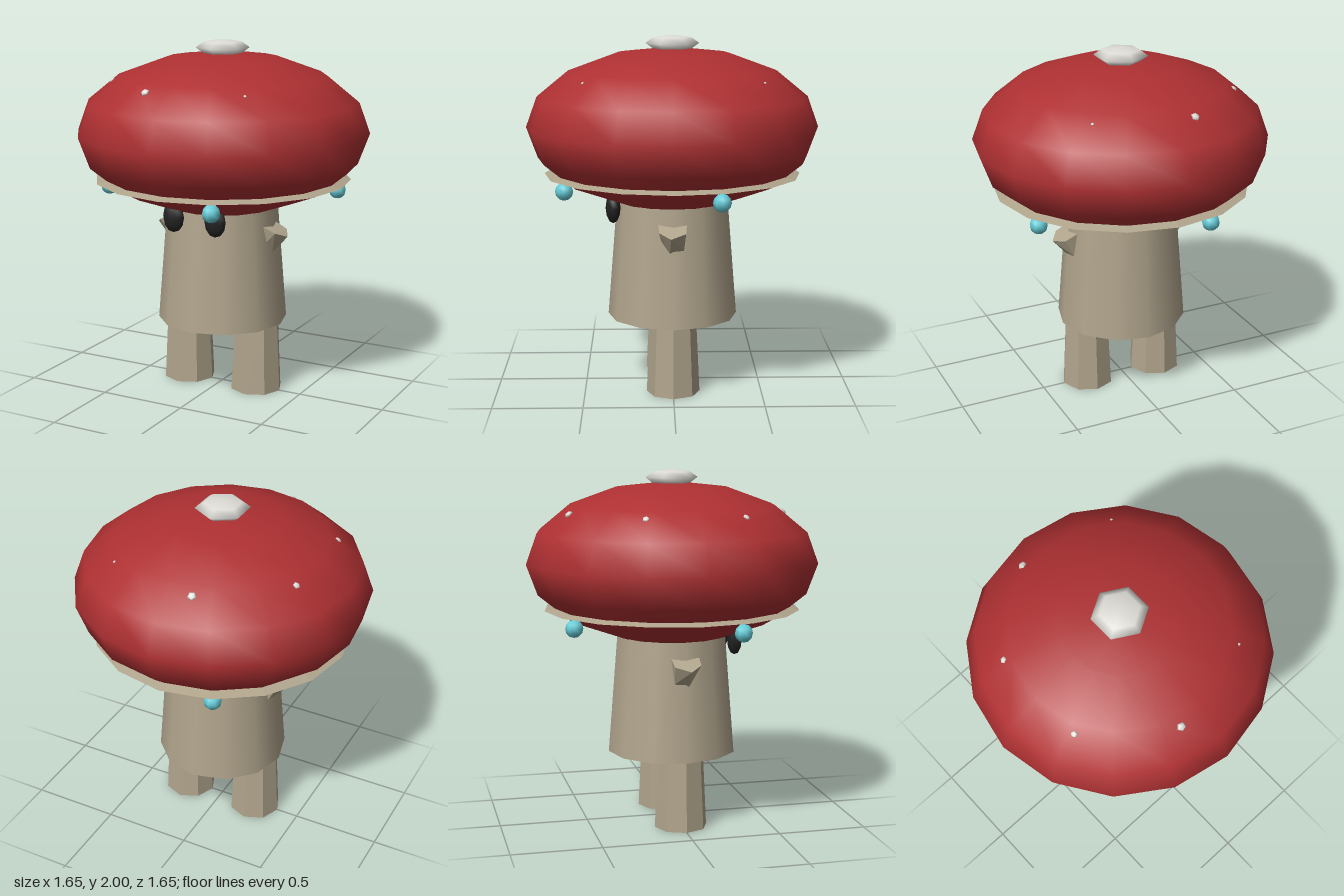
import * as THREE from 'three';
import { ConvexGeometry } from 'three/addons/geometries/ConvexGeometry.js';

const mat = (name, color, extra = {}) => {
  const m = new THREE.MeshStandardMaterial({ color, ...extra });
  m.name = name;
  return m;
};

export function createModel() {
  const red = mat('capRed', 0xae3032);
  const beige = mat('stemBeige', 0xb0a48c);
  const beigeFlat = mat('stemBeige', 0xb0a48c, { flatShading: true });
  const white = mat('spotWhite', 0xdedcd6);
  const black = mat('eyeBlack', 0x222222);
  const cyan = mat('glowCyan', 0x66ccd8);

  const root = new THREE.Group();
  root.name = 'mushroomFigure';
  const add = (name, geometry, material, x = 0, y = 0, z = 0) => {
    const m = new THREE.Mesh(geometry, material);
    m.name = name;
    m.position.set(x, y, z);
    root.add(m);
    return m;
  };

  // Cap: flattened sphere
  add('cap', new THREE.SphereGeometry(0.825, 16, 8).scale(1, 0.45 / 0.825, 1), red, 0, 1.485, 0);

  // Skirt ring under the cap
  const skirt = [[0.6, 1.222], [0.725, 1.222], [0.62, 1.25]].map(p => new THREE.Vector2(...p));
  add('skirtRing', new THREE.LatheGeometry(skirt, 16).toNonIndexed(), beigeFlat);

  // Spot on the crown
  const crown = new THREE.SphereGeometry(0.15, 6, 4).rotateY(Math.PI / 6).scale(1, 0.3, 1);
  add('crownSpot', crown, white, 0, 1.955, 0);

  // Ring of small spots barely breaking the cap surface
  const spotSize = [0, 0.009, 0.025, 0.02, 0.02, 0.025, 0.009];
  spotSize.forEach((size, i) => {
    if (!size) return;
    const a = (i / 7) * Math.PI * 2;
    const spot = add('capSpot', new THREE.SphereGeometry(size, 5, 4).scale(1, 0.5, 1), white,
      Math.cos(a) * 0.62, 1.768, Math.sin(a) * 0.62);
    const normal = new THREE.Vector3(Math.cos(a) * 0.63, 0.77, Math.sin(a) * 0.63).normalize();
    spot.quaternion.setFromUnitVectors(new THREE.Vector3(0, 1, 0), normal);
  });

  // Glowing drops hanging under the rim
  for (let i = 0; i < 4; i++) {
    const a = Math.atan2(0.6, 0.25) + (i * Math.PI) / 2;
    add('glowDrop', new THREE.SphereGeometry(0.05, 8, 6), cyan,
      Math.cos(a) * 0.65, 1.16, Math.sin(a) * 0.65);
  }

  // Stem body
  add('body', new THREE.CylinderGeometry(0.305, 0.37, 0.8, 12), beige, 0, 0.8, 0);

  // Paired legs, eyes and stubby arms
  const armPoints = [
    [0.417, 0.923, 0.015], [0.37, 0.95, 0.08], [0.375, 0.945, -0.068],
    [0.29, 0.985, 0.085], [0.29, 0.985, -0.075],
    [0.325, 0.82, 0.02], [0.32, 0.84, -0.058], [0.28, 0.86, 0.06],
  ];
  for (const [side, s] of [['left', 1], ['right', -1]]) {
    add(side + 'Leg', new THREE.CylinderGeometry(0.13, 0.15, 0.42, 8), beigeFlat, s * 0.22, 0.21, 0);
    add(side + 'Eye', new THREE.SphereGeometry(0.07, 8, 6).scale(0.95, 1.25, 0.6), black,
      s * 0.13, 1.045, 0.335);
    add(side + 'Arm', new ConvexGeometry(armPoints.map(([x, y, z]) => new THREE.Vector3(s * x, y, z))),
      beigeFlat);
  }
  return root;
}
